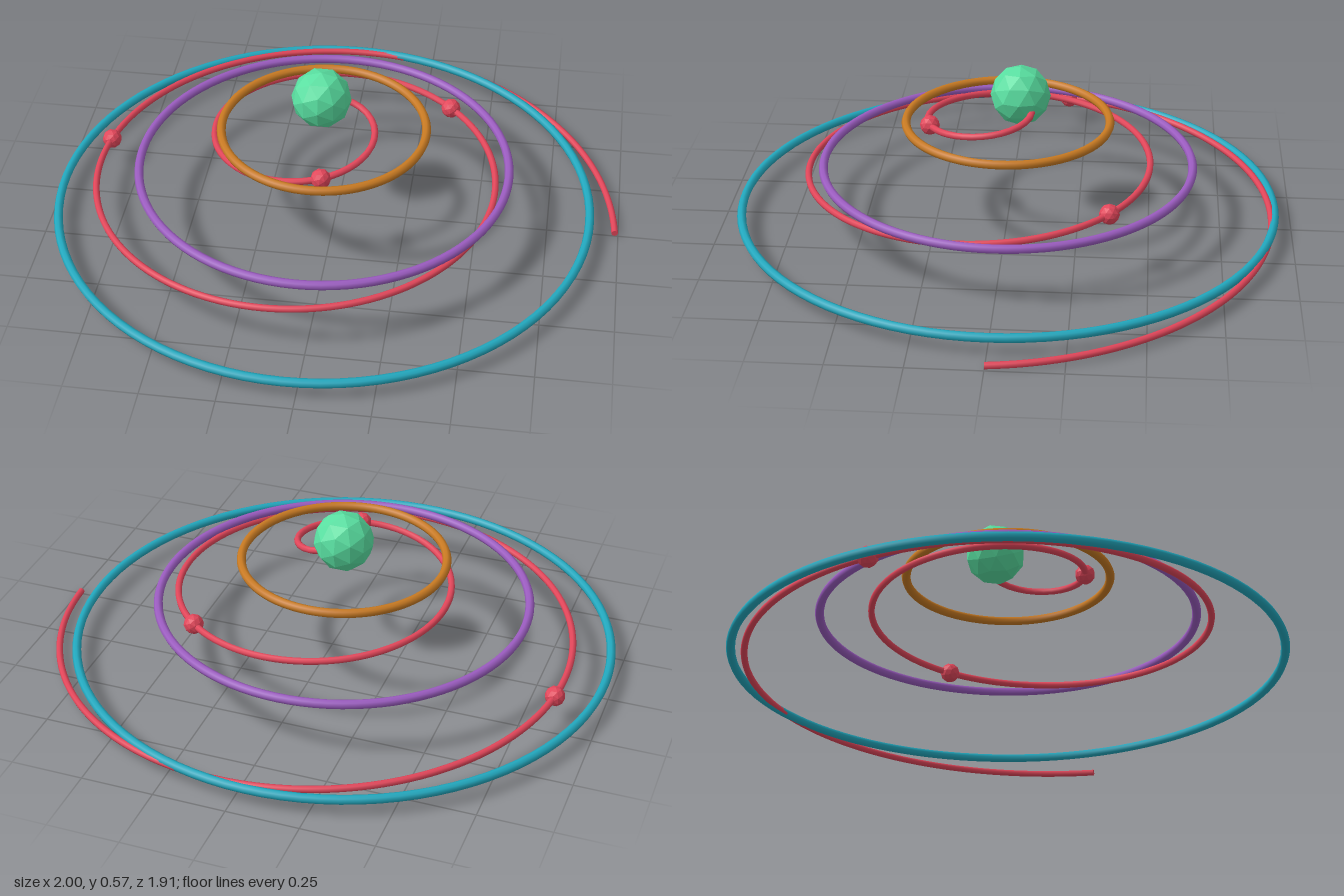
import * as THREE from 'three';

const CX = -0.043;            // axis shared by the spiral and the rings
const TURNS = 2.3;

// Conical spiral, rising as it winds inward
class Spiral extends THREE.Curve {
  getPoint(t, target = new THREE.Vector3()) {
    const a = t * TURNS * Math.PI * 2;
    const r = 1.031 - 0.988 * t;
    return target.set(CX + r * Math.cos(a), 0.012 + 0.451 * t, -r * Math.sin(a));
  }
}

function material(name, color) {
  const m = new THREE.MeshStandardMaterial({ color });
  m.name = name;
  return m;
}

// Faceted low-poly ball
function facetedBall(radius) {
  const g = new THREE.IcosahedronGeometry(radius, 1);
  g.computeVertexNormals();
  return g;
}

export function createModel() {
  const red = material('red', 0xe2465a);
  const green = material('green', 0x58dea0);
  const teal = material('teal', 0x22a8be);
  const purple = material('purple', 0x9b5cc0);
  const bronze = material('bronze', 0xc87a22);

  const model = new THREE.Group();
  model.name = 'spiralCone';
  const add = (name, geometry, mat, position) => {
    const mesh = new THREE.Mesh(geometry, mat);
    mesh.name = name;
    if (position) mesh.position.copy(position);
    model.add(mesh);
    return mesh;
  };

  // Spiral wire, with a cap on its free outer end
  const spiral = new Spiral();
  add('spiralWire', new THREE.TubeGeometry(spiral, 240, 0.0118, 8, false), red);
  const start = spiral.getPoint(0);
  const cap = add('wireEndCap', new THREE.CircleGeometry(0.0118, 8), red, start);
  cap.lookAt(start.clone().sub(spiral.getTangent(0)));

  // Beads threaded on the wire
  [0.202, 0.485, 0.768].forEach((t, i) => {
    add('bead' + (i + 1), facetedBall(0.035), red, spiral.getPoint(t));
  });

  // Level rings
  const rings = [
    ['lowerRing', 0.94, 0.057, teal],
    ['middleRing', 0.648, 0.213, purple],
    ['upperRing', 0.355, 0.371, bronze],
  ];
  for (const [name, radius, y, mat] of rings) {
    const g = new THREE.TorusGeometry(radius, 0.0155, 8, 96);
    g.rotateX(Math.PI / 2);
    add(name, g, mat, new THREE.Vector3(CX, y, 0));
  }

  // Ball at the inner end of the spiral
  add('topBall', facetedBall(0.105), green, new THREE.Vector3(-0.057, 0.465, -0.043));

  return model;
}
